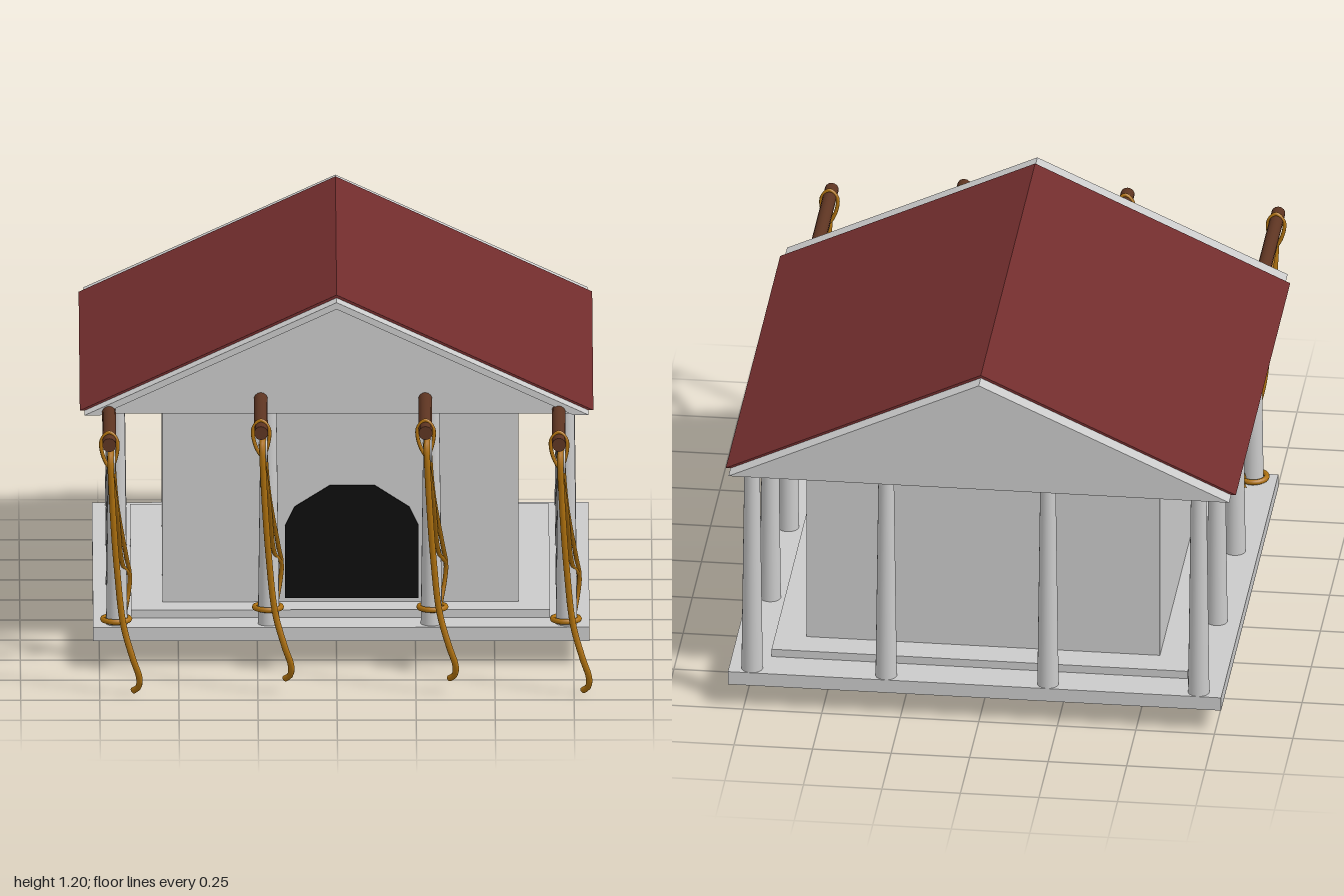
import * as THREE from 'three';

const mat = (name, color) => {
  const m = new THREE.MeshStandardMaterial({ color });
  m.name = name;
  return m;
};

export function createModel() {
  const stone = mat('stone', 0xcbcbcb);
  const roofRed = mat('roofRed', 0x722d2d);
  const wood = mat('wood', 0x5e3522);
  const ropeTan = mat('rope', 0xb0720f);
  const dark = mat('doorwayBlack', 0x0c0c0c);

  const model = new THREE.Group();
  model.name = 'temple';

  const add = (parent, name, geo, material, x = 0, y = 0, z = 0) => {
    const mesh = new THREE.Mesh(geo, material);
    mesh.name = name;
    mesh.position.set(x, y, z);
    parent.add(mesh);
    return mesh;
  };
  // Box given by its limits on each axis
  const box = (name, x0, x1, y0, y1, z0, z1) =>
    add(model, name, new THREE.BoxGeometry(x1 - x0, y1 - y0, z1 - z0), stone,
      (x0 + x1) / 2, (y0 + y1) / 2, (z0 + z1) / 2);
  // Outline in x and y, extruded from z0 to z1
  const slab = (name, pts, z0, z1, material) => {
    const shape = new THREE.Shape(pts.map(([x, y]) => new THREE.Vector2(x, y)));
    const geo = new THREE.ExtrudeGeometry(shape, { depth: z1 - z0, bevelEnabled: false });
    return add(model, name, geo, material, 0, 0, z0);
  };

  // Floor and inner chamber
  box('base', -0.77, 0.8, 0.085, 0.13, -0.99, 0.57);
  box('step', -0.65, 0.675, 0.13, 0.156, -0.87, 0.45);
  box('chamber', -0.55, 0.575, 0.156, 0.83, -0.77, 0.35);
  slab('doorway', [[-0.163, 0.17], [0.26, 0.17], [0.26, 0.405], [0.23, 0.467], [0.12, 0.538],
    [-0.02, 0.538], [-0.133, 0.467], [-0.163, 0.405]], 0.35, 0.356, dark);

  // Columns around the edge of the base
  const colX = [-0.695, -0.215, 0.3, 0.727];
  const colZ = [0.52, 0.03, -0.46, -0.955];
  const columnGeo = new THREE.CylinderGeometry(0.025, 0.034, 0.7, 20);
  colX.forEach((x, i) => colZ.forEach((z, j) => {
    if (i % 3 === 0 || j % 3 === 0) add(model, 'column', columnGeo, stone, x, 0.48, z);
  }));

  // Roof body, gables and red covering
  const triangle = (w, top) => [[-w, 0.83], [w, 0.83], [0, top]];
  const chevron = (w, top, wIn, topIn) =>
    [[-w, 0.83], [-wIn, 0.83], [0, topIn], [wIn, 0.83], [w, 0.83], [0, top]];
  slab('roofBody', triangle(0.795, 1.197), -0.945, 0.535, stone);
  slab('backGable', triangle(0.797, 1.198), -1, -0.945, stone);
  slab('frontGable', triangle(0.76, 1.181), 0.535, 0.575, stone);
  slab('frontGableTrim', chevron(0.797, 1.198, 0.748, 1.176), 0.535, 0.595, stone);
  slab('roofCovering', chevron(0.812, 1.207, 0.794, 1.197), -0.945, 0.535, roofRed);

  // Beam with pulley and rope, built around the beam's axis
  const tube = (parent, name, pts, r, closed = false) => {
    const curve = new THREE.CatmullRomCurve3(pts.map(p => new THREE.Vector3(...p)), closed);
    return add(parent, name, new THREE.TubeGeometry(curve, pts.length * 7, r, 8, closed), ropeTan);
  };
  const rigging = (x, y) => {
    const g = new THREE.Group();
    g.name = 'hoist';
    g.position.set(x, y, 0);
    model.add(g);
    add(g, 'beam', new THREE.CylinderGeometry(0.022, 0.022, 0.97, 14), wood, 0, 0, 0.515)
      .rotation.x = Math.PI / 2;
    add(g, 'pulley', new THREE.CylinderGeometry(0.04, 0.04, 0.02, 20), stone, 0.01, -0.068, 0.94)
      .rotation.z = Math.PI / 2;
    // Sling round the beam
    tube(g, 'sling', [[0, 0.027, 0.94], [0.025, 0, 0.94], [0.02, -0.06, 0.94], [0.005, -0.09, 0.94],
      [-0.016, -0.06, 0.94], [-0.025, 0, 0.94]], 0.006, true);
    // Hanging end, over the pulley
    tube(g, 'hangingRope', [[0.005, -0.045, 0.895], [0.006, -0.025, 0.94], [0.004, -0.05, 0.978],
      [0.01, -0.2, 0.977], [0.025, -0.42, 0.963], [0.045, -0.6, 0.955], [0.075, -0.71, 0.956],
      [0.095, -0.775, 0.942], [0.092, -0.81, 0.925], [0.075, -0.825, 0.912]], 0.01);
    // Paired ropes down to the column
    for (const s of [-1, 1]) {
      tube(g, 'stayRope', [[0.004 + s * 0.006, -0.045 + s * 0.012, 0.895], [0.025, -0.28 + s * 0.012, 0.71],
        [0.05 + s * 0.006, -0.5 + s * 0.012, 0.545], [0.066, -0.56, 0.487],
        [0.062, -0.62, 0.475], [0.05, -0.685, 0.49]], 0.007);
    }
    // Loop and loose end at the column foot
    const loop = add(g, 'columnLoop', new THREE.TorusGeometry(0.042, 0.009, 8, 24), ropeTan, 0.023, -0.693, 0.52);
    loop.rotation.x = Math.PI / 2;
    tube(g, 'looseEnd', [[0.055, -0.69, 0.49], [0.05, -0.695, 0.465], [0.04, -0.7, 0.44]], 0.007);
  };
  [[-0.72, 0.838], [-0.24, 0.877], [0.28, 0.877], [0.702, 0.838]].forEach(([x, y]) => rigging(x, y));

  return model;
}
